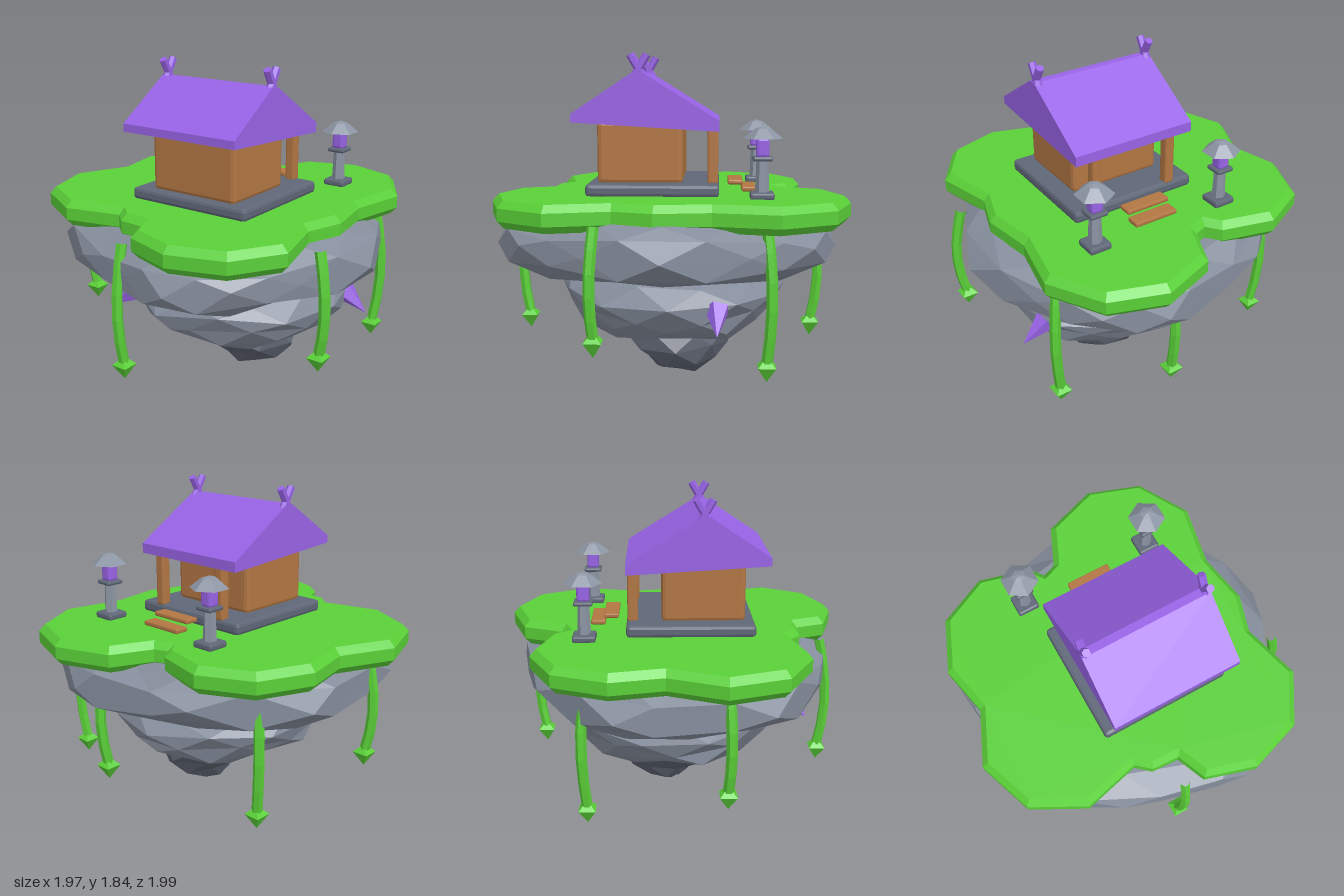
import * as THREE from 'three';
import { RoundedBoxGeometry } from 'three/addons/geometries/RoundedBoxGeometry.js';

const mat = (name, color) => {
  const m = new THREE.MeshStandardMaterial({ color });
  m.name = name;
  return m;
};

// Gives every face its own normal for a faceted look
function flat(geo) {
  const g = geo.index ? geo.toNonIndexed() : geo;
  g.computeVertexNormals();
  return g;
}

export function createModel() {
  const root = new THREE.Group();
  root.name = 'floatingIsland';
  const grass = mat('grass green', 0x5ad038);
  const rock = mat('rock grey', 0x868e9d);
  const darkRock = mat('dark rock grey', 0x5e6471);
  const slate = mat('slate grey', 0x5f6777);
  const stone = mat('lantern stone grey', 0x8c95a4);
  const wood = mat('wood brown', 0xb27643);
  const purple = mat('purple', 0x9863e6);

  function add(name, geo, material, parent = root) {
    const m = new THREE.Mesh(flat(geo), material);
    m.name = name;
    parent.add(m);
    return m;
  }

  // Chamfered box given by its extents
  function box(name, [x0, x1], [y0, y1], [z0, z1], material, chamfer = 0.015, parent = root) {
    const g = new RoundedBoxGeometry(x1 - x0, y1 - y0, z1 - z0, 1, chamfer);
    g.translate((x0 + x1) / 2, (y0 + y1) / 2, (z0 + z1) / 2);
    return add(name, g, material, parent);
  }

  // Cylinder or cone between two points
  function rod(name, from, to, r0, r1, sides, material) {
    const a = new THREE.Vector3(...from), b = new THREE.Vector3(...to);
    const m = add(name, new THREE.CylinderGeometry(r1, r0, a.distanceTo(b), sides), material);
    m.position.copy(a).lerp(b, 0.5);
    m.quaternion.setFromUnitVectors(new THREE.Vector3(0, 1, 0), b.sub(a).normalize());
  }

  // Grass slab with a cloud-shaped outline (x, z)
  const outline = [
    [0.36, -1], [0.67, -0.89], [0.84, -0.59], [0.77, -0.24], [0.82, 0.06], [0.75, 0.28],
    [0.84, 0.62], [0.67, 0.89], [0.36, 0.99], [0.07, 0.9], [0, 0.73], [-0.16, 0.72],
    [-0.24, 0.65], [-0.57, 0.73], [-0.87, 0.57], [-0.985, 0.25], [-0.85, -0.06],
    [-0.915, -0.35], [-0.79, -0.65], [-0.5, -0.79], [-0.2, -0.71], [-0.14, -0.63],
    [-0.06, -0.66], [0.04, -0.89],
  ];
  const slab = new THREE.ExtrudeGeometry(
    new THREE.Shape(outline.map(([x, z]) => new THREE.Vector2(x, z))),
    { depth: 0.07, bevelEnabled: true, bevelSegments: 1, bevelSize: 0.035, bevelThickness: 0.04, bevelOffset: -0.035 });
  slab.rotateX(Math.PI / 2).translate(0, 1.025, 0);
  add('grassTop', slab, grass);

  // Faceted rock: staggered rings [y, scale, centre x, centre z] of one outline, top to bottom
  function boulder(name, shape, rings, material) {
    const n = shape.length, pos = [], idx = [];
    rings.forEach(([y, s, cx, cz], j) => {
      for (let i = 0; i < n; i++) {
        const a = shape[i], b = shape[(i + 1) % n], t = j % 2 ? 0.5 : 0;
        const k = s * (1 - 0.025 * (1 + Math.sin(i * 4.1 + j * 2.3)) * (s < 1));
        pos.push(cx + k * (a[0] + (b[0] - a[0]) * t), y + 0.02 * Math.sin(i * 2.4 + j * 1.7),
          cz + k * (a[1] + (b[1] - a[1]) * t));
      }
    });
    for (let j = 0; j < rings.length - 1; j++)
      for (let i = 0; i < n; i++) {
        const i1 = (i + 1) % n, a = j * n + i, a1 = j * n + i1, b = a + n, b1 = a1 + n;
        if (j % 2) idx.push(a, b1, b, a, a1, b1);
        else idx.push(a, a1, b, b, a1, b1);
      }
    // caps
    const last = rings.length - 1, top = n * rings.length;
    for (const [y, , cx, cz] of [rings[0], rings[last]]) pos.push(cx, y, cz);
    for (let i = 0; i < n; i++) {
      const i1 = (i + 1) % n;
      idx.push(top, i1, i, top + 1, last * n + i, last * n + i1);
    }
    const g = new THREE.BufferGeometry();
    g.setAttribute('position', new THREE.Float32BufferAttribute(pos, 3));
    g.setIndex(idx);
    add(name, g, material);
  }
  const round = (n, r) => Array.from({ length: n }, (_, i) => {
    const a = (i / n) * Math.PI * 2, k = r * (0.98 + 0.04 * Math.sin(i * 2.7));
    return [k * Math.cos(a), k * Math.sin(a)];
  });
  boulder('upperRock', [
    [0.985, 0.015], [0.81, 0.44], [0.62, 0.79], [0.33, 0.975], [0.03, 0.91], [-0.38, 0.8], [-0.8, 0.52],
    [-0.85, 0.08], [-0.9, -0.33], [-0.42, -0.77], [0.02, -0.87], [0.3, -0.93], [0.62, -0.78], [0.82, -0.44],
  ], [[0.96, 0.86, 0, 0], [0.88, 1, 0, 0], [0.8, 1, 0, 0], [0.71, 1, 0, 0],
    [0.63, 0.82, 0, 0], [0.585, 0.55, 0, 0]], rock);
  boulder('middleRock', round(11, 0.665), [[0.65, 0.66, 0.11, -0.01], [0.59, 0.95, 0.11, -0.01],
    [0.51, 1, 0.11, -0.01], [0.43, 0.99, 0.11, -0.01], [0.35, 0.87, 0.11, -0.01],
    [0.275, 0.68, 0.13, -0.01]], rock);
  boulder('lowerRock', round(8, 0.385), [[0.35, 1, 0.09, -0.02], [0.28, 0.98, 0.1, -0.02],
    [0.19, 0.8, 0.17, -0.04], [0.1, 0.62, 0.2, -0.07], [0.035, 0.36, 0.17, -0.05],
    [0.015, 0.1, 0.12, 0]], darkRock);

  // Crystals in the rock
  rod('crystal', [-0.07, 0.67, 0.64], [-0.21, 0.54, 0.77], 0.105, 0, 5, purple);
  rod('crystal', [0.68, 0.5, -0.27], [0.83, 0.39, -0.27], 0.07, 0, 5, purple);

  // Hanging vines: x, z and lowest point of each
  const vines = [[-0.81, 0.27, 0.265], [-0.66, -0.49, 0.11], [-0.03, 0.875, 0.185],
    [0.745, -0.53, 0.13], [0.88, 0.36, 0.29], [0.19, -0.805, 0.225]];
  const tipProfile = [[0, 0], [0.066, 0.085], [0, 0.135]].map(([r, y]) => new THREE.Vector2(r, y));
  for (const [x, z, low] of vines) {
    const vine = new THREE.Group();
    vine.name = 'vine';
    root.add(vine);
    const d = Math.hypot(x, z), len = 0.96 - low;
    const point = (out, y) => new THREE.Vector3(x * (1 + out / d), y, z * (1 + out / d));
    const path = new THREE.CatmullRomCurve3([
      point(-0.015, 0.965), point(0.03, 0.96 - len * 0.3),
      point(0.035, 0.96 - len * 0.6), point(0, low + 0.09)]);
    add('vineStem', new THREE.TubeGeometry(path, 5, 0.03, 6), grass, vine);
    const leaf = new THREE.LatheGeometry(tipProfile, 4).rotateY(Math.PI / 4);
    add('vineLeaf', leaf, grass, vine).position.set(x, low, z);
  }

  // House: plinth, walls, porch posts and steps
  box('plinth', [-0.31, 0.465], [1.06, 1.13], [-0.275, 0.455], slate, 0.02);
  box('walls', [-0.2, 0.36], [1.12, 1.47], [-0.075, 0.4], wood, 0.025);
  for (const x of [-0.16, 0.32]) box('porchPost', [x - 0.03, x + 0.03], [1.12, 1.46], [-0.27, -0.21], wood, 0.012);
  box('upperStep', [-0.055, 0.215], [1.105, 1.132], [-0.41, -0.325], wood, 0.008);
  box('lowerStep', [-0.055, 0.215], [1.066, 1.094], [-0.488, -0.403], wood, 0.008);

  // Solid gable roof, profile in (z, y)
  const gable = [[0.53, 1.465], [0.53, 1.51], [0.19, 1.735], [0.145, 1.735], [-0.275, 1.475], [-0.275, 1.417]];
  const roof = new THREE.ExtrudeGeometry(
    new THREE.Shape(gable.map(([z, y]) => new THREE.Vector2(z, y))), { depth: 0.75, bevelEnabled: false });
  roof.rotateY(-Math.PI / 2).translate(0.455, 0, 0);
  add('roof', roof, purple);

  // Crossed finials at both ridge ends
  for (const x of [-0.275, 0.43])
    for (const s of [-1, 1])
      rod('ridgeFinial', [x, 1.69, 0.16 - s * 0.035], [x, 1.828, 0.16 + s * 0.045], 0.023, 0.023, 6, purple);

  // Stone lanterns
  for (const x of [-0.33, 0.487]) {
    const lantern = new THREE.Group();
    lantern.name = 'lantern';
    lantern.position.set(x, 0, -0.505);
    root.add(lantern);
    const ring = (name, r0, r1, y0, y1, material) =>
      add(name, new THREE.CylinderGeometry(r1, r0, y1 - y0, 6), material, lantern).position.y = (y0 + y1) / 2;
    box('lanternBase', [-0.065, 0.065], [1.06, 1.1], [-0.065, 0.065], slate, 0.012, lantern);
    ring('lanternPost', 0.038, 0.032, 1.095, 1.27, stone);
    box('lanternShelf', [-0.053, 0.053], [1.265, 1.29], [-0.053, 0.053], slate, 0.01, lantern);
    box('lanternLight', [-0.035, 0.035], [1.285, 1.388], [-0.035, 0.035], purple, 0.015, lantern);
    ring('lanternCap', 0.107, 0.042, 1.385, 1.438, stone);
    ring('lanternCapTop', 0.042, 0.01, 1.438, 1.448, stone);
  }
  return root;
}
